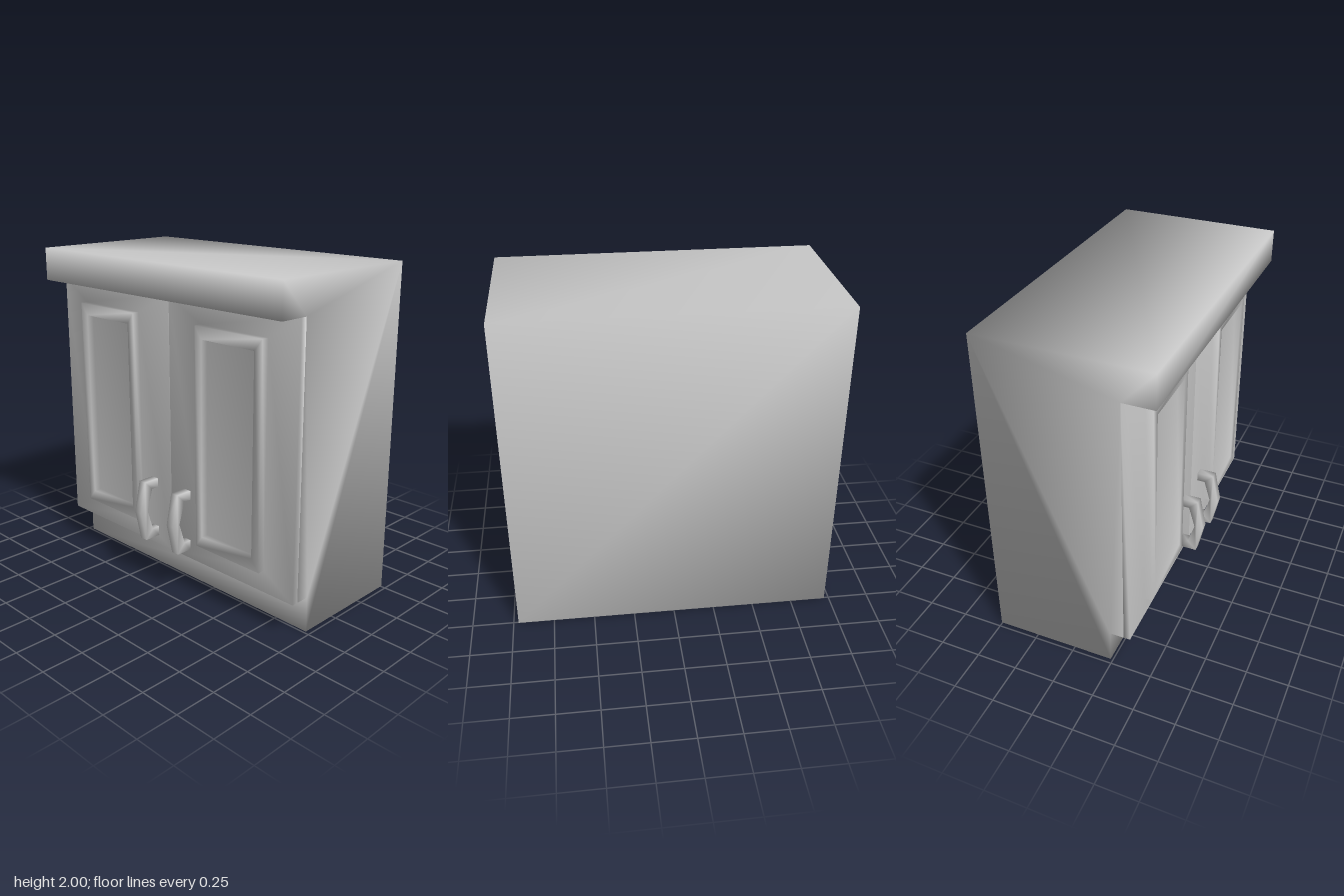
import * as THREE from 'three';
import { mergeVertices } from 'three/addons/utils/BufferGeometryUtils.js';

const grey = new THREE.MeshStandardMaterial({ color: 0xcccccc });

// Weld corners so the shading runs smoothly over the edges
function smooth(geometry) {
  geometry.deleteAttribute('normal');
  geometry.deleteAttribute('uv');
  const welded = mergeVertices(geometry, 1e-4);
  welded.computeVertexNormals();
  return welded;
}

function part(name, geometry) {
  const mesh = new THREE.Mesh(geometry, grey);
  mesh.name = name;
  return mesh;
}

// Side profile of [z, y] points, extruded along x and centred on x = 0
function sideExtrude(points, width) {
  const shape = new THREE.Shape(points.map(([z, y]) => new THREE.Vector2(z, y)));
  const geometry = new THREE.ExtrudeGeometry(shape, { depth: width, bevelEnabled: false });
  geometry.translate(0, 0, -width / 2);
  geometry.rotateY(-Math.PI / 2);
  return smooth(geometry);
}

// Skin over rectangles [x0, x1, y0, y1, z], closed at the last one
function rectLoft(rings) {
  const positions = [];
  const index = [];
  for (const [x0, x1, y0, y1, z] of rings) {
    positions.push(x0, y0, z, x1, y0, z, x1, y1, z, x0, y1, z);
  }
  for (let r = 0; r < rings.length - 1; r++) {
    for (let i = 0; i < 4; i++) {
      const a = r * 4 + i;
      const b = r * 4 + ((i + 1) % 4);
      index.push(a, b, b + 4, a, b + 4, a + 4);
    }
  }
  const c = (rings.length - 1) * 4;
  index.push(c, c + 1, c + 2, c, c + 2, c + 3);
  const geometry = new THREE.BufferGeometry();
  geometry.setAttribute('position', new THREE.Float32BufferAttribute(positions, 3));
  geometry.setIndex(index);
  geometry.computeVertexNormals();
  return geometry;
}

export function createModel() {
  const cabinet = new THREE.Group();
  cabinet.name = 'cabinet';

  // Carcass with recessed plinth and overhanging worktop
  cabinet.add(part('carcass', sideExtrude([
    [-0.505, 0], [0.235, 0], [0.235, 0.215], [0.32, 0.215], [0.32, 1.8],
    [0.505, 1.8], [0.505, 2], [-0.505, 2],
  ], 1.94)));

  // Door: slab, raised moulding, sunken panel
  const doorRings = [
    [0.004, 0.97, 0.215, 1.8, 0.32],
    [0.004, 0.97, 0.215, 1.8, 0.36],
    [0.262, 0.758, 0.348, 1.668, 0.36],
    [0.262, 0.758, 0.348, 1.668, 0.405],
    [0.312, 0.702, 0.418, 1.597, 0.405],
    [0.312, 0.702, 0.418, 1.597, 0.36],
  ];

  // Bent bar handle
  const handleProfile = [
    [0.36, 0.275], [0.465, 0.275], [0.505, 0.465], [0.465, 0.655], [0.36, 0.655],
    [0.36, 0.6], [0.41, 0.6], [0.45, 0.465], [0.41, 0.335], [0.36, 0.335],
  ];

  for (const [side, sign] of [['left', 1], ['right', -1]]) {
    const rings = doorRings.map(([x0, x1, ...rest]) =>
      sign > 0 ? [x0, x1, ...rest] : [-x1, -x0, ...rest]);
    cabinet.add(part(side + 'Door', rectLoft(rings)));

    const handle = part(side + 'Handle', sideExtrude(handleProfile, 0.052));
    handle.position.x = sign * 0.143;
    cabinet.add(handle);
  }
  return cabinet;
}
